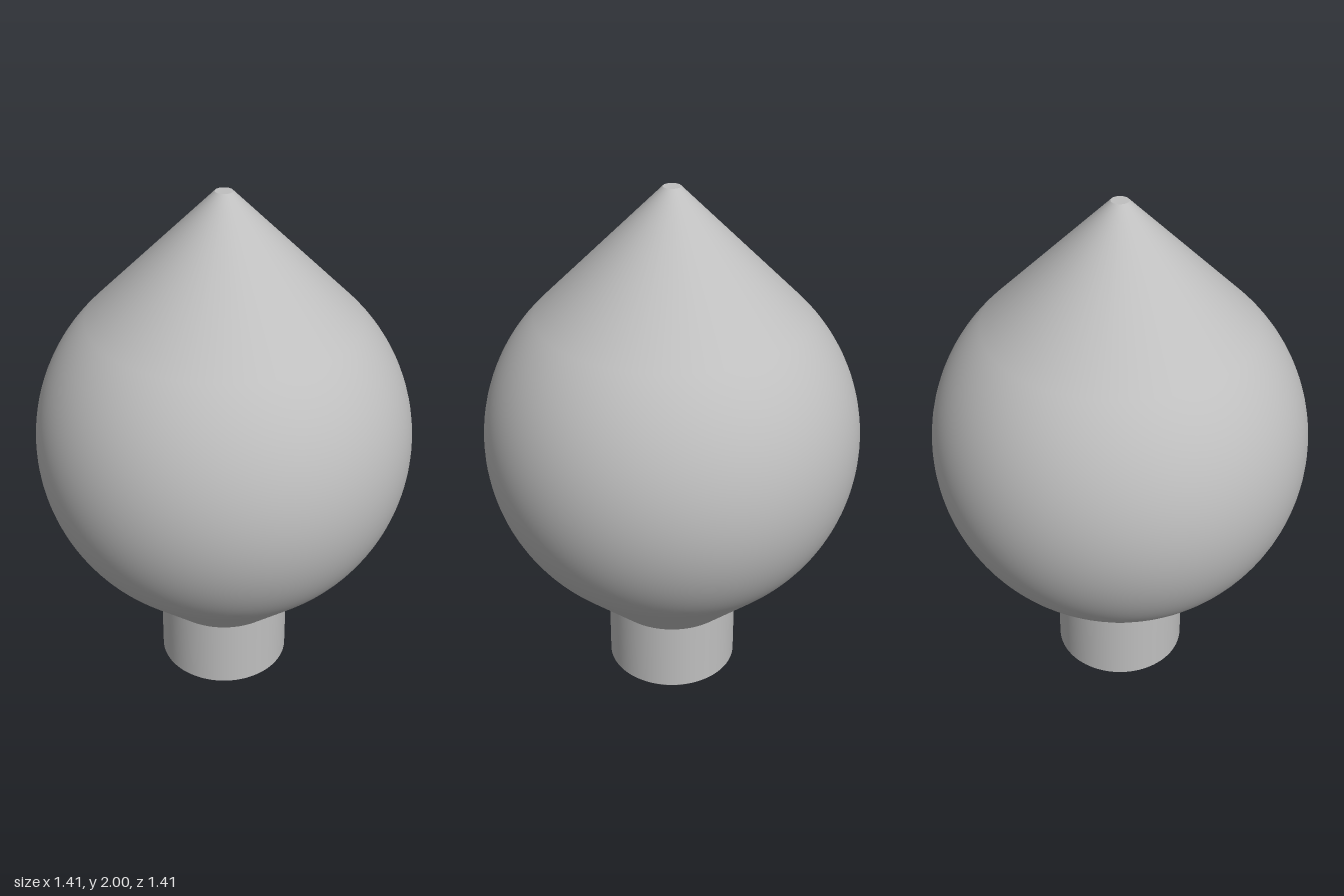
import * as THREE from 'three';

const SEGMENTS = 96;
const CENTRE_Y = 1.035; // centre of the round bulb
const RADIUS = 0.705;
const NECK = 0.255;
const WALL = 0.05;

// Ball profile that runs at 45 degrees into a cone above and below
function bulbProfile(radius, neckRadius, tipRadius) {
  const reach = radius * Math.SQRT2;
  const points = [new THREE.Vector2(neckRadius, CENTRE_Y - reach + neckRadius)];
  for (let i = 0; i <= 32; i++) {
    const a = -Math.PI / 4 + (i / 32) * (Math.PI / 2);
    points.push(new THREE.Vector2(radius * Math.cos(a), CENTRE_Y + radius * Math.sin(a)));
  }
  points.push(new THREE.Vector2(tipRadius, CENTRE_Y + reach - tipRadius));
  return points;
}

export function createModel() {
  const model = new THREE.Group();
  model.name = 'teardropBulb';
  const grey = new THREE.MeshStandardMaterial({ color: 0xbfbfbf });
  grey.name = 'grey';

  const addLathe = (name, points) => {
    const mesh = new THREE.Mesh(new THREE.LatheGeometry(points, SEGMENTS), grey);
    mesh.name = name;
    model.add(mesh);
  };
  // Straight-sided ring, kept separate so its edges stay sharp
  const addRing = (name, r0, y0, r1, y1) =>
    addLathe(name, [new THREE.Vector2(r0, y0), new THREE.Vector2(r1, y1)]);

  // Outer skin and flat tip
  const outer = bulbProfile(RADIUS, NECK, 0.032);
  const shoulder = outer[0];
  const tip = outer[outer.length - 1];
  tip.y = 2;
  addLathe('bulb', outer);
  addRing('tipCap', tip.x, tip.y, 0, tip.y);

  // Hollow inside, wound the other way
  const inner = bulbProfile(RADIUS - WALL, NECK - WALL, 0).reverse();
  const throat = inner[inner.length - 1];
  addLathe('bulbInside', inner);

  // Open neck with a chamfered rim
  addRing('neckInside', throat.x, throat.y, throat.x, 0);
  addRing('neckRim', throat.x, 0, NECK - 0.01, 0);
  addRing('neckChamfer', NECK - 0.01, 0, NECK, 0.01);
  addRing('neck', NECK, 0.01, NECK, shoulder.y);

  return model;
}
